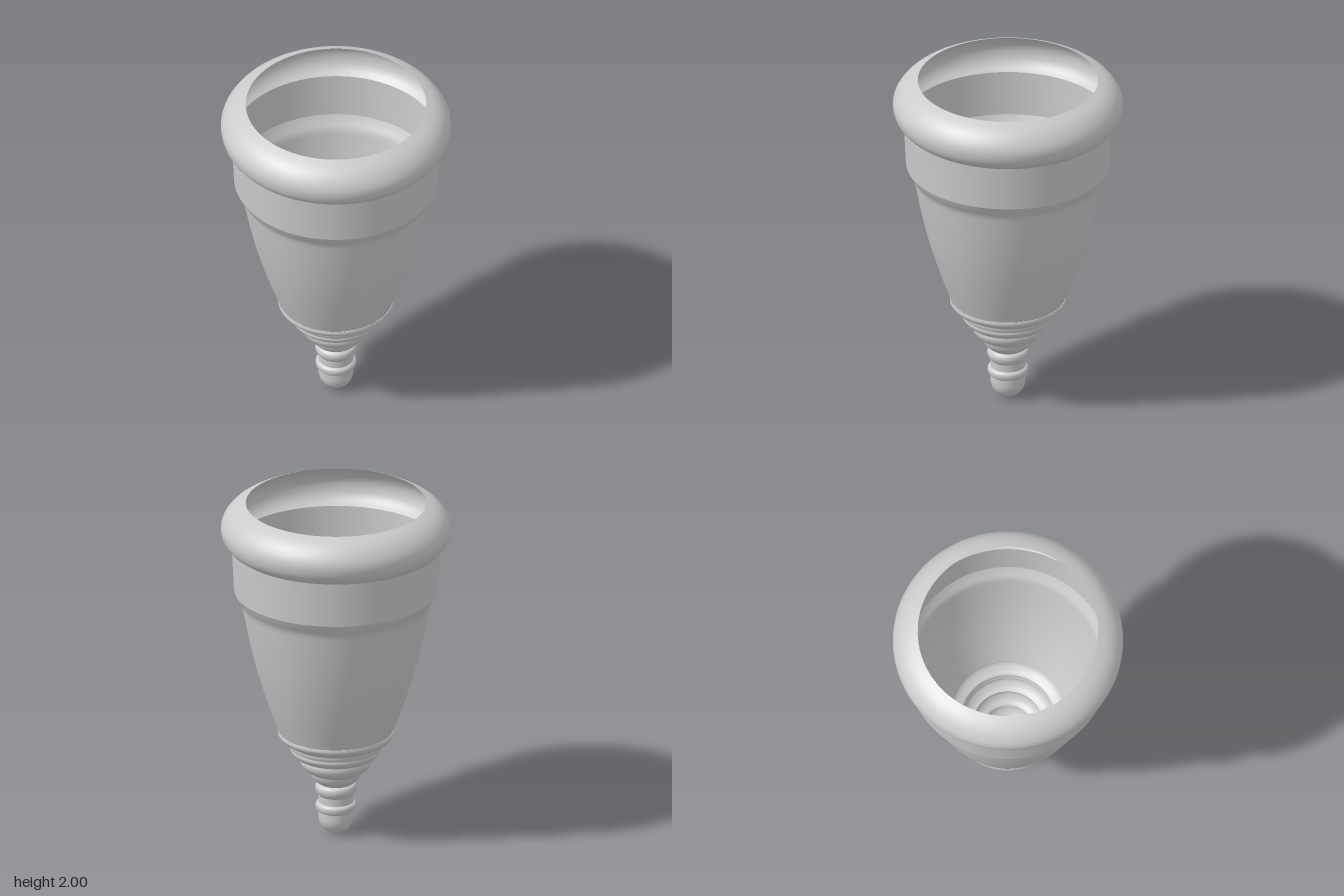
import * as THREE from 'three';

const material = new THREE.MeshStandardMaterial({ color: 0xcccccc, side: THREE.DoubleSide });
const SEGMENTS = 96;

// Smooth thin-walled ring of revolution through [radius, height] points, bottom to top
function turned(name, profile, samples) {
  const curve = new THREE.SplineCurve(profile.map(([r, y]) => new THREE.Vector2(r, y)));
  const points = curve.getPoints(samples);
  points.forEach((p) => { p.x = Math.max(p.x, 0); });
  const mesh = new THREE.Mesh(new THREE.LatheGeometry(points, SEGMENTS), material);
  mesh.name = name;
  return mesh;
}

export function createModel() {
  const group = new THREE.Group();
  group.name = 'cup';

  // Rounded stem tip: quarter circle running into a short cylinder
  const tip = [];
  for (let i = 0; i <= 8; i++) {
    const a = (i / 8) * Math.PI / 2;
    tip.push([0.098 * Math.sin(a), 0.1 - 0.1 * Math.cos(a)]);
  }
  tip.push([0.098, 0.137]);
  group.add(turned('stemTip', tip, 32));

  // Stem with two grip beads
  group.add(turned('lowerBead', [[0.098, 0.137], [0.11, 0.147], [0.115, 0.167], [0.111, 0.183], [0.098, 0.192]], 16));
  group.add(turned('stemNeck', [[0.098, 0.192], [0.098, 0.235]], 1));
  group.add(turned('upperBead', [[0.098, 0.235], [0.11, 0.25], [0.117, 0.273], [0.112, 0.295], [0.096, 0.306]], 16));

  // Stepped grip rings widening toward the bowl
  group.add(turned('gripRing1', [[0.096, 0.306], [0.115, 0.32], [0.137, 0.345], [0.146, 0.368], [0.15, 0.378],
    [0.178, 0.396], [0.196, 0.42], [0.203, 0.443], [0.2, 0.463]], 40));
  group.add(turned('gripRing2', [[0.2, 0.463], [0.225, 0.473], [0.247, 0.492], [0.257, 0.51], [0.256, 0.525]], 20));
  group.add(turned('gripRing3', [[0.256, 0.525], [0.262, 0.54], [0.266, 0.558], [0.29, 0.57], [0.315, 0.588],
    [0.327, 0.608], [0.325, 0.627]], 28));

  // Bowl with curved flanks
  group.add(turned('bowl', [[0.322, 0.627], [0.385, 0.8], [0.446, 1.0], [0.493, 1.2], [0.527, 1.38]], 24));

  // Shoulder and nearly straight collar
  group.add(turned('shoulder', [[0.527, 1.38], [0.536, 1.41], [0.559, 1.449], [0.575, 1.48]], 10));
  group.add(turned('collar', [[0.575, 1.48], [0.587, 1.742]], 2));

  // Rolled rim, open at the inner top edge
  group.add(turned('rim', [[0.587, 1.742], [0.618, 1.767], [0.64, 1.803], [0.648, 1.85], [0.638, 1.893],
    [0.608, 1.938], [0.565, 1.973], [0.508, 2.0]], 32));

  return group;
}
